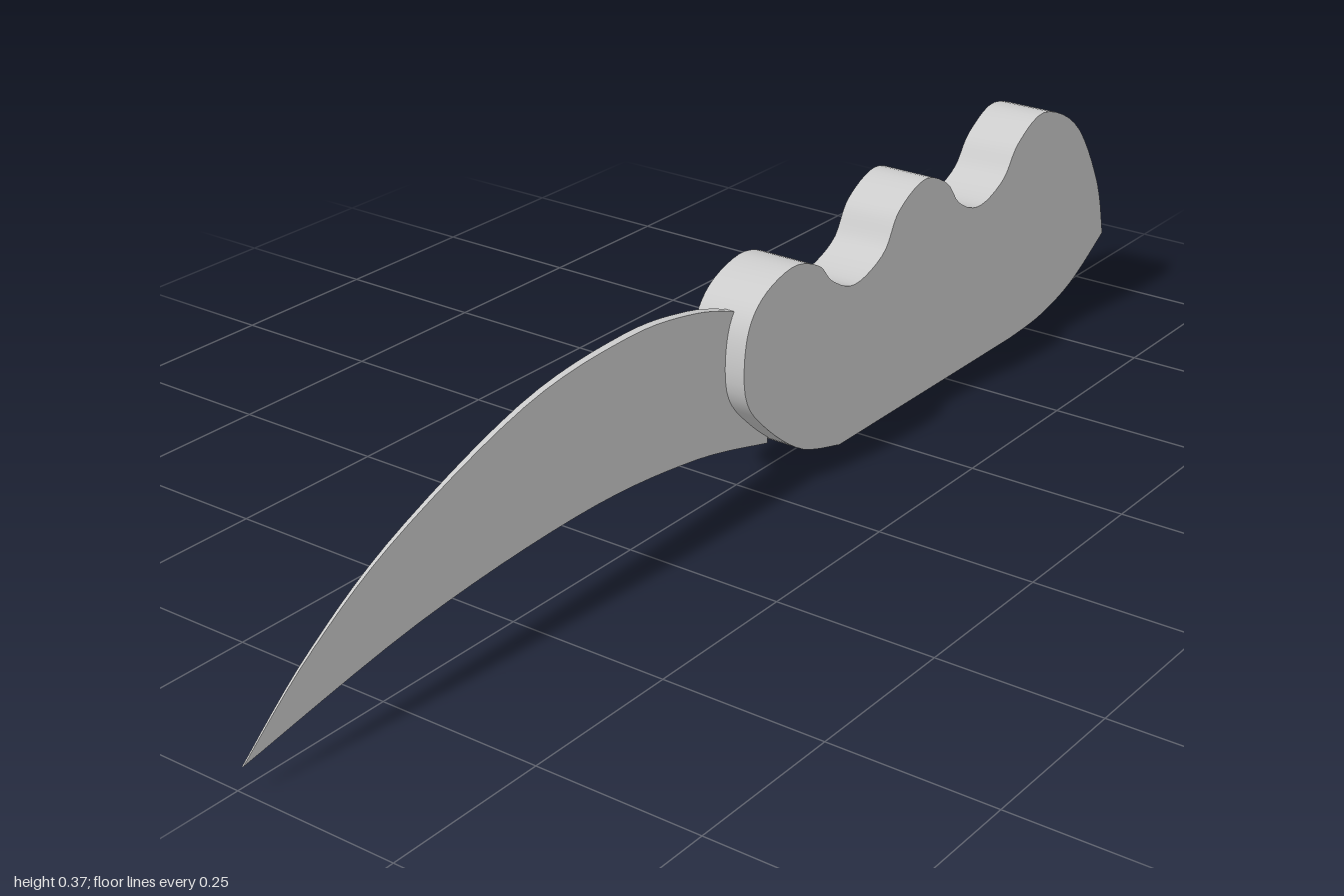
import * as THREE from 'three';
import { toCreasedNormals } from 'three/addons/utils/BufferGeometryUtils.js';

const vecs = (pts) => pts.map(([x, y]) => new THREE.Vector2(x, y));

// Closed shape whose sides are smooth curves joined end to end
function outline(sides) {
  const shape = new THREE.Shape();
  shape.moveTo(...sides[0][0]);
  for (const side of sides) {
    if (side.length === 2) shape.lineTo(...side[1]);
    else shape.splineThru(vecs(side.slice(1)));
  }
  return shape;
}

function extrude(shape, depth) {
  return new THREE.ExtrudeGeometry(shape, { depth, bevelEnabled: false, curveSegments: 5 })
    .translate(0, 0, -depth / 2);
}

export function createModel() {
  const group = new THREE.Group();
  const material = new THREE.MeshStandardMaterial({ color: 0xcccccc, side: THREE.DoubleSide });
  const add = (name, geometry) => {
    const mesh = new THREE.Mesh(toCreasedNormals(geometry, 0.6), material);
    mesh.name = name;
    group.add(mesh);
  };

  // Handle: flat slab with three finger ridges along the top
  add('handle', extrude(outline([
    [[0.2, 0], [0.7, 0]],
    [[0.7, 0], [0.8, 0.008], [0.9, 0.036], [1, 0.092]],
    [[1, 0.092], [0.97, 0.195], [0.89, 0.315], [0.78, 0.369], [0.7, 0.34],
      [0.655, 0.29], [0.585, 0.267], [0.525, 0.29], [0.485, 0.335], [0.42, 0.36],
      [0.35, 0.33], [0.31, 0.275], [0.235, 0.25], [0.175, 0.275], [0.14, 0.31],
      [0.075, 0.33], [0.0, 0.307], [-0.038, 0.255], [-0.04, 0.165], [0.01, 0.1],
      [0.1, 0.032], [0.2, 0]],
  ]), 0.092));

  // Blade: curved, flat in front, its back face closing in towards the tip
  const blade = extrude(outline([
    [[-1, 0.038], [-0.68, 0.092], [-0.36, 0.11], [-0.12, 0.09], [0.06, 0.048]],
    [[0.06, 0.048], [0.06, 0.25]],
    [[0.06, 0.25], [-0.02, 0.285], [-0.12, 0.315], [-0.26, 0.33], [-0.47, 0.31],
      [-0.72, 0.225], [-0.88, 0.135], [-1, 0.038]],
  ]), 0.02);
  const pos = blade.attributes.position;
  for (let i = 0; i < pos.count; i++) {
    const t = (pos.getX(i) + 1) / 1.06;
    pos.setZ(i, pos.getZ(i) > 0 ? 0.013 : 0.011 - 0.015 * t);
  }
  add('blade', blade);

  return group;
}
